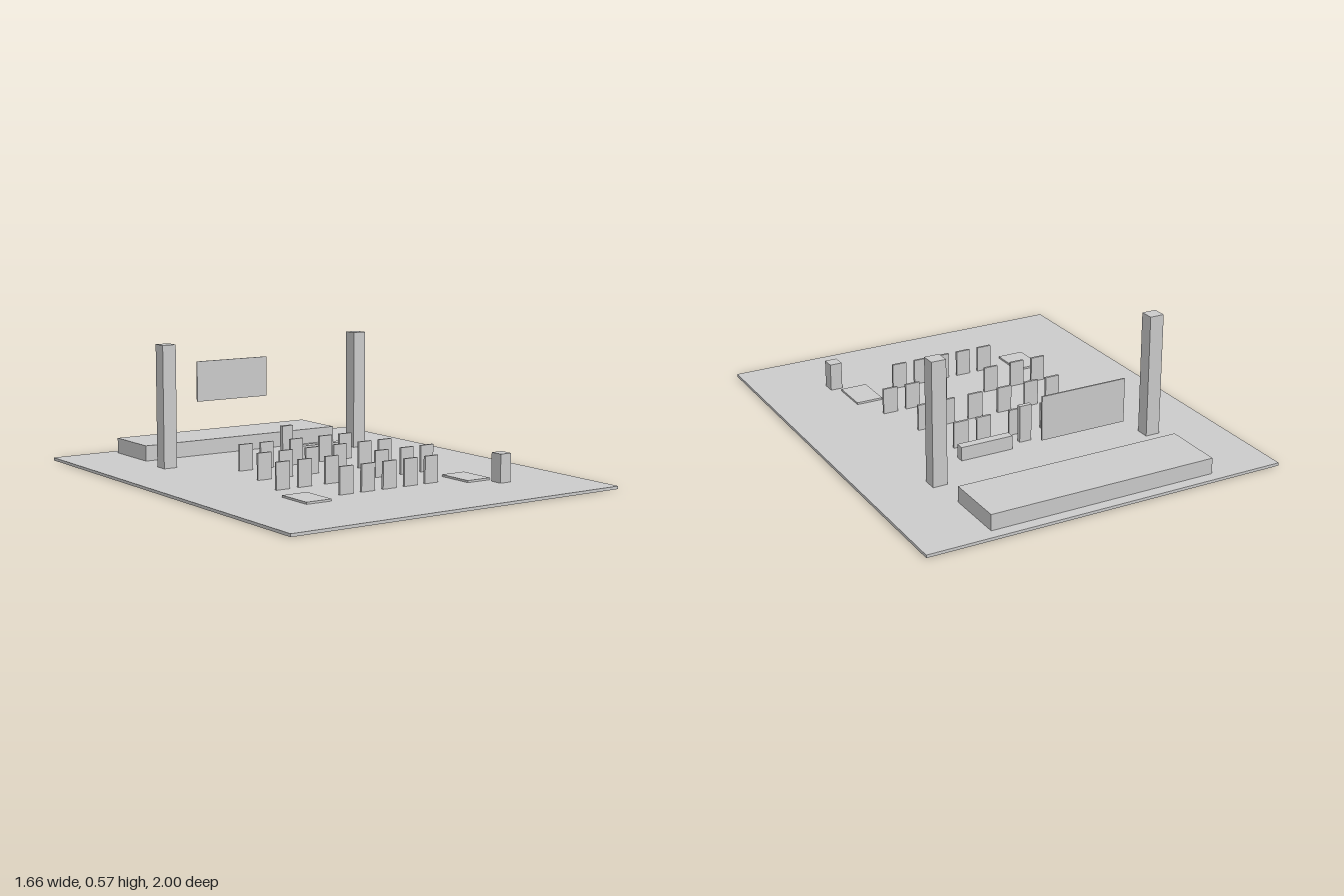
import * as THREE from 'three';

const GROUND = 0.013;

export function createModel() {
  const model = new THREE.Group();
  const material = new THREE.MeshStandardMaterial({ color: 0xcccccc });

  // Box centred on (x, z), spanning bottom to top
  function box(name, x, z, width, depth, top, bottom = GROUND) {
    const mesh = new THREE.Mesh(new THREE.BoxGeometry(width, top - bottom, depth), material);
    mesh.name = name;
    mesh.position.set(x, (top + bottom) / 2, z);
    model.add(mesh);
  }

  // Ground slab, rear stage and hanging screen
  box('ground', 0, 0, 1.66, 2, GROUND, 0);
  box('stage', 0, -0.81, 1.045, 0.277, 0.084);
  box('screen', 0, -0.766, 0.388, 0.007, 0.443, 0.252);

  // Mirrored towers and floor mats
  for (const side of [-1, 1]) {
    box('tower', side * 0.52, -0.478, 0.066, 0.064, 0.568);
    box('floorMat', side * 0.416, 0.491, 0.123, 0.178, 0.022);
  }

  // Table, upright panel beside it, and front pedestal
  box('table', 0.211, -0.324, 0.246, 0.04, 0.075);
  box('centrePanel', 0, -0.291, 0.057, 0.021, 0.182);
  box('pedestal', 0.488, 0.64, 0.056, 0.06, 0.139);

  // Four rows of upright panels, each mirrored about the centre line
  const rows = [
    { z: -0.213, offsets: [0, 0.159, 0.27] },
    { z: 0.024, offsets: [0.074, 0.212, 0.323] },
    { z: 0.257, offsets: [0.132, 0.27, 0.381] },
    { z: 0.492, offsets: [0, 0.111, 0.222] },
  ];
  for (const { z, offsets } of rows) {
    for (const x of offsets) {
      for (const side of x === 0 ? [1] : [-1, 1]) {
        box('rowPanel', side * x, z, 0.069, 0.011, 0.132);
      }
    }
  }

  return model;
}
